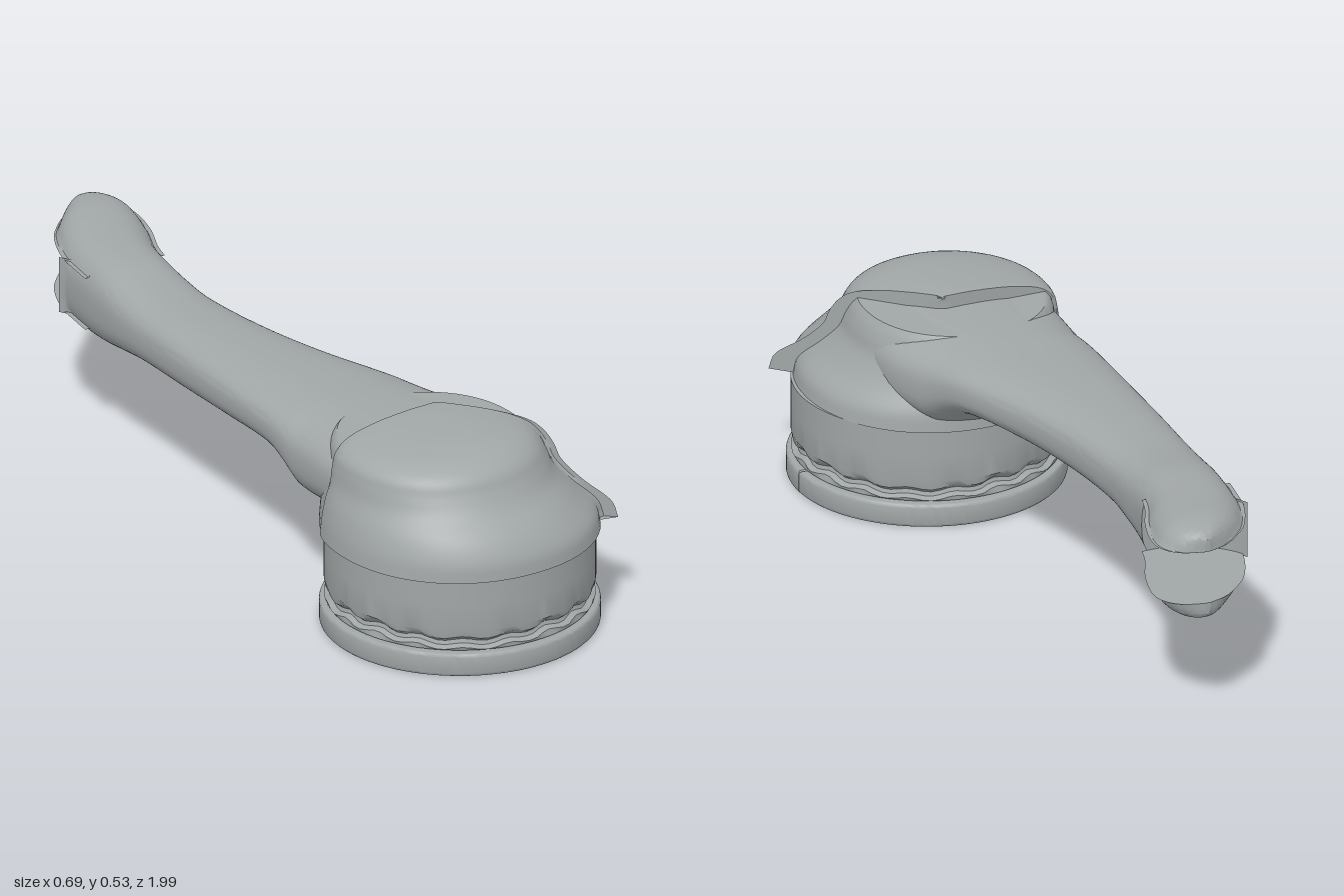
import * as THREE from 'three';
import { toCreasedNormals } from 'three/addons/utils/BufferGeometryUtils.js';

const steel = new THREE.MeshStandardMaterial({ color: 0xa1a6a7 });
steel.name = 'steel grey';
const SIDES = 64, DRUM_Z = 0.645;

// smooth interpolation of table rows keyed by their first column
function sample(table, t) {
  let i = 0;
  while (i < table.length - 2 && t > table[i + 1][0]) i++;
  const p = table[i], q = table[i + 1], o = table[Math.max(i - 1, 0)], r = table[Math.min(i + 2, table.length - 1)];
  const h = q[0] - p[0], u = (t - p[0]) / h;
  return p.slice(1).map((a, k) => {
    const b = q[k + 1];
    const m = (b - o[k + 1]) / (q[0] - o[0]) * h, n = (r[k + 1] - a) / (r[0] - p[0]) * h;
    return (2 * u ** 3 - 3 * u * u + 1) * a + (u ** 3 - 2 * u * u + u) * m
      + (3 * u * u - 2 * u ** 3) * b + (u ** 3 - u * u) * n;
  });
}

// rounded section between two extents on each axis
function section(a0, a1, b0, b1, n, place) {
  const pow = v => Math.sign(v) * Math.abs(v) ** (2 / n);
  return Array.from({ length: SIDES }, (_, j) => {
    const t = j / SIDES * Math.PI * 2;
    return place((a0 + a1) / 2 + (a1 - a0) / 2 * pow(Math.cos(t)), (b0 + b1) / 2 + (b1 - b0) / 2 * pow(Math.sin(t)));
  });
}

// closed solid skinned through rings
function loft(rings, crease = 0.7) {
  const pos = rings.flat(2), idx = [], m = SIDES, last = (rings.length - 1) * m;
  for (let i = 0; i < rings.length - 1; i++) for (let j = 0; j < m; j++) {
    const k = (j + 1) % m, a = i * m + j, b = i * m + k, c = a + m, d = b + m;
    idx.push(a, c, b, b, c, d);
  }
  const s = rings.length * m;
  for (const ring of [rings[0], rings[rings.length - 1]])
    for (let k = 0; k < 3; k++) pos.push(ring.reduce((sum, p) => sum + p[k], 0) / m);
  for (let j = 0; j < m; j++) {
    const k = (j + 1) % m;
    idx.push(s, j, k, s + 1, last + k, last + j);
  }
  const g = new THREE.BufferGeometry();
  g.setAttribute('position', new THREE.Float32BufferAttribute(pos, 3));
  g.setIndex(idx);
  return toCreasedNormals(g, crease);
}

// arm outline: -z, left x, right x, bottom, top
const ARM = [
  [-0.62, -0.29, 0.215, 0.27, 0.492], [-0.45, -0.288, 0.205, 0.265, 0.49], [-0.33, -0.28, 0.17, 0.262, 0.488],
  [-0.28, -0.277, 0.15, 0.295, 0.487], [-0.2, -0.27, 0.125, 0.33, 0.485], [0, -0.26, 0.06, 0.333, 0.485],
  [0.2, -0.25, 0.018, 0.33, 0.485], [0.4, -0.237, 0, 0.325, 0.486], [0.5, -0.23, 0.004, 0.312, 0.495],
  [0.6, -0.22, 0.013, 0.294, 0.51], [0.7, -0.207, 0.036, 0.284, 0.516], [0.8, -0.187, 0.08, 0.28, 0.52],
  [0.9, -0.14, 0.105, 0.276, 0.526], [0.95, -0.095, 0.095, 0.278, 0.523],
  [0.985, -0.05, 0.06, 0.286, 0.515], [1, -0.005, 0.012, 0.3, 0.502],
];
function armLoft(from, to, steps, lo, hi, ease = u => u, limit = () => 9) {
  return loft(Array.from({ length: steps + 1 }, (_, i) => {
    const t = from + (to - from) * ease(i / steps);
    const [l, r, b, top] = sample(ARM, t);
    return section(l, r, b, top, 2.7, (x, y) => [Math.min(x, limit(t)), THREE.MathUtils.clamp(y, lo, hi), -t]);
  }));
}

// head outline: height, left x, right x, back z, front z
const HEAD = [
  [0.255, -0.348, 0.338, 0.3, 0.99], [0.3, -0.343, 0.325, 0.303, 0.983], [0.35, -0.33, 0.276, 0.31, 0.952],
  [0.4, -0.311, 0.239, 0.32, 0.9], [0.44, -0.303, 0.226, 0.33, 0.872], [0.475, -0.29, 0.208, 0.34, 0.852],
  [0.5, -0.25, 0.18, 0.36, 0.815], [0.515, -0.18, 0.13, 0.38, 0.77], [0.523, -0.1, 0.07, 0.43, 0.71],
  [0.527, -0.02, 0.01, 0.55, 0.6],
];
function headLoft(inset, maxY, backEdge) {
  return loft(Array.from({ length: 37 }, (_, i) => {
    const y = 0.255 + 0.272 * Math.sin(i / 36 * Math.PI / 2);
    const [l, r, b, f] = sample(HEAD, y);
    const d = Math.min(inset, (r - l) / 4);
    return section(l + d, r - d, b, f - d, 2.1, (x, z) => [x, Math.min(y, maxY), Math.max(z, backEdge(x))]);
  }), 0.75);
}

// hollow drum with a worn lower lip
function drumGeometry() {
  const profile = [[0, 0.2], [0.268, 0.2], [0.268, 0.066], [0.3, 0.064], [0.33, 0.065], [0.333, 0.074],
    [0.318, 0.08], [0.315, 0.09], [0.33, 0.102], [0.334, 0.12], [0.334, 0.19], [0.334, 0.256], [0, 0.256]];
  const g = new THREE.LatheGeometry(profile.map(p => new THREE.Vector2(...p)), 96);
  const p = g.attributes.position;
  for (let i = 0; i < p.count; i++) {
    const x = p.getX(i), y = p.getY(i), z = p.getZ(i), r = Math.hypot(x, z), a = Math.atan2(x, z);
    if (r < 0.29 || y < 0.073 || y > 0.11) continue;
    const wear = Math.sin(a * 11) * Math.sin(a * 7 + 1);
    const k = 1 - 0.025 * Math.max(0, wear);
    p.setXYZ(i, x * k, y + 0.008 * wear, z * k);
  }
  return toCreasedNormals(g, 0.6);
}

// split clamp ring, open at the left side
function ringGeometry() {
  const gap = 0.025, R = 0.337, r = 0.272, s = new THREE.Shape();
  s.absarc(0, 0, R, gap, Math.PI * 2 - gap, false);
  s.absarc(0, 0, r, Math.PI * 2 - gap * 1.2, gap * 1.2, true);
  const g = new THREE.ExtrudeGeometry(s, {
    depth: 0.044, curveSegments: 72, bevelEnabled: true, bevelThickness: 0.008, bevelSize: 0.008, bevelSegments: 3,
  });
  return toCreasedNormals(g.rotateX(-Math.PI / 2).translate(0, 0.008, 0), 0.6);
}

export function createModel() {
  const group = new THREE.Group();
  group.name = 'clampArm';
  const add = (name, geometry, z = 0) => {
    const mesh = new THREE.Mesh(geometry, steel);
    mesh.name = name;
    mesh.position.z = z;
    group.add(mesh);
  };

  // base
  add('clampRing', ringGeometry(), DRUM_Z);
  add('drum', drumGeometry(), DRUM_Z);

  // housing and the cover shell over its front
  add('housing', headLoft(0.013, 0.485, () => -9));
  add('cover', headLoft(0, 1, x => 0.51 + Math.max(0, x - 0.02) * 1.03));

  // arm, fork prongs and the curved web between them
  const ease = u => Math.sin(u * Math.PI / 2);
  add('arm', armLoft(-0.62, 0.66, 48, 0, 1));
  add('upperProng', armLoft(0.66, 1, 30, 0.468, 1, ease));
  add('lowerProng', armLoft(0.66, 1, 30, 0, 0.33, ease));
  add('forkWeb', armLoft(0.66, 0.79, 16, 0.325, 0.473, u => u * u,
    t => -Math.sqrt(Math.max(0, 0.22 ** 2 - (0.88 - t) ** 2))));
  return group;
}
